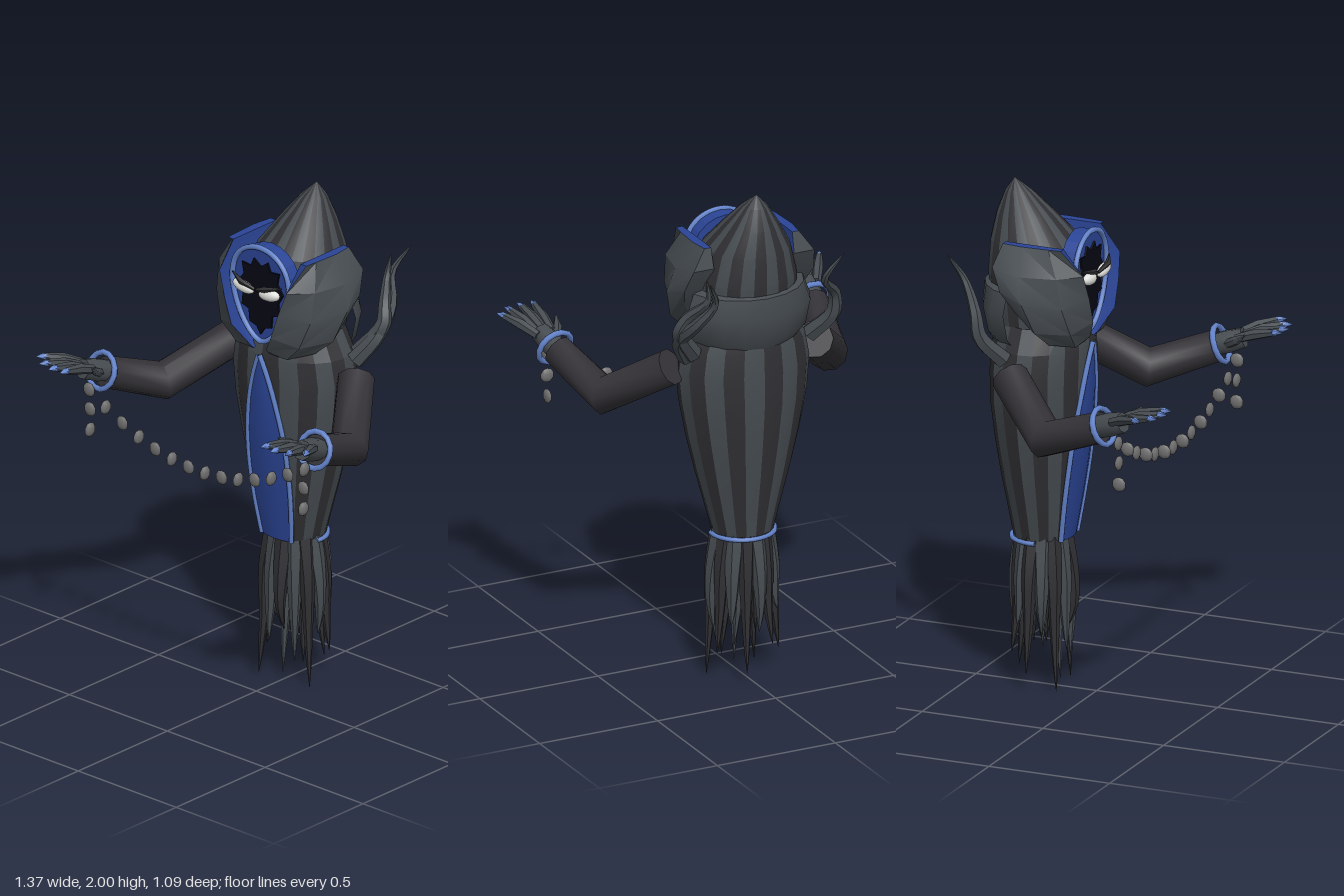
import * as THREE from 'three';
import { toCreasedNormals } from 'three/addons/utils/BufferGeometryUtils.js';

const V = (x, y, z) => new THREE.Vector3(x, y, z);
const material = (name, color, side = THREE.FrontSide) => {
  const m = new THREE.MeshStandardMaterial({ color, side });
  m.name = name;
  return m;
};

// Surface through a grid of points: rows go up, columns go right as seen from outside
function sheet(rows, { flip = false, crease = 0.7, stripes = false } = {}) {
  const pos = [];
  const geo = new THREE.BufferGeometry();
  const cols = rows[0].length - 1;
  for (let j = 0; j < cols; j++) {
    for (let i = 0; i < rows.length - 1; i++) {
      const a = rows[i][j], b = rows[i][j + 1], c = rows[i + 1][j + 1], d = rows[i + 1][j];
      for (const p of flip ? [a, c, b, a, d, c] : [a, b, c, a, c, d]) pos.push(p.x, p.y, p.z);
    }
    if (stripes) geo.addGroup(j * (rows.length - 1) * 6, (rows.length - 1) * 6, j % 2);
  }
  geo.setAttribute('position', new THREE.Float32BufferAttribute(pos, 3));
  const out = toCreasedNormals(geo, crease);
  out.groups = geo.groups;
  return out;
}

// Elliptical ring from [y, rx, zFront, zBack]
function ring([y, rx, zf, zb], n, from = 0, to = Math.PI * 2) {
  return Array.from({ length: n + 1 }, (_, j) => {
    const a = from + (to - from) * j / n;
    return V(rx * Math.sin(a), y, (zf + zb) / 2 + (zf - zb) / 2 * Math.cos(a));
  });
}

// Tapering tube along a path, closed at both ends
function limb(points, radii, sides = 7) {
  const u = V(0.31, 0.2, 0.93);
  const rows = points.map((p, k) => {
    const t = points[Math.min(k + 1, points.length - 1)].clone().sub(points[Math.max(k - 1, 0)]).normalize();
    u.addScaledVector(t, -u.dot(t)).normalize();
    const v = t.clone().cross(u);
    return Array.from({ length: sides + 1 }, (_, j) => {
      const a = Math.PI * 2 * j / sides;
      return p.clone().addScaledVector(u, radii[k] * Math.cos(a)).addScaledVector(v, radii[k] * Math.sin(a));
    });
  });
  rows.unshift(rows[0].map(() => points[0]));
  rows.push(rows[0].map(() => points[points.length - 1]));
  return sheet(rows, { crease: 1 });
}

// Smooth tapering tendril
function tendril(points, r, steps = 9) {
  const path = new THREE.CatmullRomCurve3(points).getPoints(steps);
  return limb(path, path.map((_, k) => r * Math.pow(1 - k / steps, 0.7) + 0.0008), 6);
}

export function createModel() {
  const model = new THREE.Group();
  const dark = material('dark cloth', 0x302f33);
  const grey = material('grey cloth', 0x464c51);
  const sleeve = material('sleeve cloth', 0x343237);
  const blue = material('blue lining', 0x2b4596, THREE.DoubleSide);
  const trim = material('light blue trim', 0x6484cc);
  const shadow = material('face black', 0x060614);
  const white = material('eye white', 0xe6e6e2);
  const metal = material('chain grey', 0x707070);
  const add = (name, geo, mat, parent = model) => {
    const m = new THREE.Mesh(geo, mat);
    m.name = name;
    parent.add(m);
    return m;
  };

  // Striped robe and pointed hood
  const robe = [[0.6, 0.12, -0.11, -0.335], [0.7, 0.148, -0.093, -0.35], [0.85, 0.19, -0.07, -0.375],
    [1.0, 0.227, -0.05, -0.395], [1.15, 0.256, -0.035, -0.41], [1.28, 0.268, -0.03, -0.41],
    [1.38, 0.25, -0.03, -0.405], [1.47, 0.2, -0.05, -0.39]];
  add('robe', sheet(robe.map(r => ring(r, 20)), { stripes: true, crease: 0.28 }), [dark, grey]);
  add('robeUnderside', sheet([ring([0.6, 0, -0.22, -0.22], 20), ring(robe[0], 20)]), dark);
  const hood = [[1.38, 0.18, -0.07, -0.39], [1.5, 0.2, -0.06, -0.41], [1.65, 0.2, -0.06, -0.43],
    [1.77, 0.168, -0.08, -0.425], [1.87, 0.105, -0.18, -0.405], [1.95, 0.05, -0.27, -0.375], [2, 0, -0.34, -0.34]];
  add('hood', sheet(hood.map(r => ring(r, 24)), { stripes: true, crease: 0.28 }), [grey, dark]);

  // Blue front panel with trimmed edges
  const panel = [[0.6, 0.075, -0.1], [0.75, 0.092, -0.075], [0.9, 0.098, -0.052], [1.05, 0.09, -0.034],
    [1.2, 0.064, -0.02], [1.3, 0.036, -0.016], [1.39, 0.003, -0.014]];
  add('frontPanel', sheet(panel.map(([y, w, z]) => [-1, -0.5, 0, 0.5, 1].map(k =>
    V(k * w, y, z - k * k * w * 0.2)))), blue);
  for (const s of [-1, 1]) {
    const edge = new THREE.CatmullRomCurve3(panel.map(([y, w, z]) => V(s * w, y, z - w * 0.2)));
    add('panelTrim', new THREE.TubeGeometry(edge, 20, 0.01, 6), trim);
  }
  const hem = new THREE.CatmullRomCurve3(ring([0.592, 0.125, -0.1, -0.34], 12, Math.PI * 0.45, Math.PI * 1.55));
  add('hemTrim', new THREE.TubeGeometry(hem, 24, 0.01, 6), trim);

  // Face set in a teardrop opening
  const opening = new THREE.Shape();
  opening.moveTo(0, 1.44);
  opening.bezierCurveTo(0.07, 1.45, 0.145, 1.58, 0.145, 1.68);
  opening.bezierCurveTo(0.145, 1.875, -0.145, 1.875, -0.145, 1.68);
  opening.bezierCurveTo(-0.145, 1.58, -0.07, 1.45, 0, 1.44);
  add('faceLining', new THREE.ExtrudeGeometry(opening, { depth: 0.06, bevelEnabled: false, curveSegments: 10 }), blue)
    .position.z = -0.09;
  const rim = new THREE.CatmullRomCurve3(opening.getPoints(8).slice(0, -1).map(p => V(p.x, p.y, -0.025)), true);
  add('faceRim', new THREE.TubeGeometry(rim, 48, 0.011, 6, true), trim);
  const half = [[0.035, 1.775], [0.05, 1.74], [0.095, 1.745], [0.085, 1.7], [0.115, 1.66], [0.09, 1.62],
    [0.095, 1.57], [0.06, 1.56], [0.055, 1.51], [0.02, 1.5]];
  const faceShape = new THREE.Shape([[0, 1.75], ...half, [0, 1.47], ...half.map(([x, y]) => [-x, y]).reverse()]
    .map(([x, y]) => new THREE.Vector2(x, y)));
  add('face', new THREE.ExtrudeGeometry(faceShape, { depth: 0.008, bevelEnabled: false }), shadow).position.z = -0.03;
  for (const s of [-1, 1]) {
    const eye = add('eye', new THREE.SphereGeometry(1, 12, 8), white);
    eye.scale.set(0.054, 0.024, 0.02);
    eye.position.set(s * 0.066, 1.658, 0.0);
    eye.rotation.z = s * 0.15;
    add('brow', limb([V(s * 0.005, 1.665, 0.005), V(s * 0.06, 1.687, 0.02), V(s * 0.125, 1.70, -0.005)],
      [0.006, 0.012, 0.003], 5), dark);
  }

  // Big side flaps of the collar: stations from front to back, each from bottom to top
  const flap = [
    [[0.04, 1.42, -0.01], [0.1, 1.5, 0.03], [0.135, 1.6, 0.03], [0.17, 1.7, 0.02], [0.2, 1.8, -0.06]],
    [[0.13, 1.4, -0.03], [0.2, 1.47, -0.02], [0.24, 1.58, -0.04], [0.245, 1.7, -0.06], [0.205, 1.8, -0.11]],
    [[0.2, 1.42, -0.11], [0.265, 1.48, -0.14], [0.3, 1.6, -0.18], [0.275, 1.7, -0.2], [0.21, 1.8, -0.22]],
    [[0.2, 1.49, -0.2], [0.25, 1.55, -0.23], [0.275, 1.63, -0.28], [0.255, 1.72, -0.32], [0.2, 1.8, -0.3]],
  ];
  for (const s of [-1, 1]) {
    const rows = flap[0].map((_, i) => flap.map(st => V(s * st[i][0], st[i][1], st[i][2])));
    const inner = rows.map((row, i) => row.map(p => V(s * (flap[0][i][0] - (i === 4 ? 0.028 : 0)), p.y, p.z)));
    rows.forEach((row, i) => row.push(inner[i][3]));
    add('collarFlap', sheet(rows, { flip: s < 0, crease: 0.6 }), grey);
    add('collarLining', sheet(inner, { flip: s > 0 }), blue);
    add('collarTop', sheet([rows[4].slice(0, 4), inner[4]], { flip: s < 0 }), blue);
    add('collarBottom', sheet([inner[0], rows[0].slice(0, 4)], { flip: s < 0 }), grey);
  }
  // Back of the collar
  const back = [[1.37, 0.2, -0.02, -0.39], [1.43, 0.25, -0.02, -0.425], [1.53, 0.265, -0.02, -0.445],
    [1.61, 0.235, -0.02, -0.44], [1.63, 0.18, -0.04, -0.40]];
  add('collarBack', sheet(back.map(r => ring(r, 8, Math.PI * 0.56, Math.PI * 1.44))), grey);

  // Curling wisps behind the shoulders
  const wisps = [
    [[0.26, 1.36, -0.27], [0.32, 1.46, -0.33], [0.3, 1.55, -0.43], [0.25, 1.65, -0.49], [0.3, 1.76, -0.545]],
    [[0.25, 1.38, -0.3], [0.33, 1.5, -0.35], [0.31, 1.57, -0.38], [0.26, 1.65, -0.45], [0.27, 1.74, -0.46]],
    [[-0.26, 1.36, -0.27], [-0.325, 1.46, -0.34], [-0.32, 1.55, -0.36], [-0.24, 1.65, -0.44], [-0.3, 1.76, -0.485]],
  ];
  for (const w of wisps) add('wisp', tendril(w.map(p => V(...p)), 0.036, 14), grey);

  // Arms, cuffs, hands and claws
  for (const s of [-1, 1]) {
    const arm = new THREE.Group();
    arm.name = s > 0 ? 'leftArm' : 'rightArm';
    model.add(arm);
    const P = (x, y, z) => V(s * x, y, z);
    add('sleeve', limb([P(0.305, 1.31, -0.225), P(0.475, 1.145, 0), P(0.54, 1.245, 0.255)],
      [0.072, 0.076, 0.062], 10), sleeve, arm);
    const cuff = add('cuff', new THREE.TorusGeometry(0.071, 0.012, 6, 14), trim, arm);
    cuff.position.copy(P(0.545, 1.253, 0.27));
    cuff.quaternion.setFromUnitVectors(V(0, 0, 1), P(0.1, 0.33, 0.9).normalize());
    add('palm', limb([P(0.543, 1.245, 0.24), P(0.55, 1.265, 0.3), P(0.56, 1.285, 0.36)],
      [0.042, 0.046, 0.04], 8), grey, arm);
    const fingers = [[0.522, 0.345, 0.512, 0.54], [0.548, 0.355, 0.568, 0.545], [0.578, 0.35, 0.63, 0.53],
      [0.59, 0.325, 0.685, 0.485]];
    for (const [x0, z0, x1, z1] of fingers) {
      const at = k => P(x0 + (x1 - x0) * k, 1.29 + 0.05 * Math.sin(k * 1.5), z0 + (z1 - z0) * k);
      add('finger', limb([at(0), at(0.4), at(0.8)], [0.018, 0.021, 0.014], 6), grey, arm);
      add('claw', limb([at(0.76), at(0.85), at(1)], [0.014, 0.012, 0.001], 6), trim, arm);
    }
    add('thumb', limb([P(0.52, 1.265, 0.31), P(0.49, 1.295, 0.36), P(0.475, 1.325, 0.4)],
      [0.018, 0.018, 0.003], 6), grey, arm);
  }

  // Chain of flat beads slung between the wrists, with two hanging ends
  const bead = new THREE.SphereGeometry(1, 8, 5);
  const addBead = (x, y, thinX) => {
    const b = add('chainBead', bead, metal);
    b.position.set(x, y, 0.335);
    b.scale.set(thinX ? 0.013 : 0.029, 0.029, thinX ? 0.029 : 0.013);
  };
  for (let i = 0; i < 14; i++) {
    const x = -0.55 + i * 1.1 / 13;
    addBead(x, 1.025 + 0.56 * x * x, i % 2 === 1);
  }
  for (const s of [-1, 1]) {
    addBead(s * 0.545, 1.115, false);
    addBead(s * 0.545, 1.03, true);
  }

  // Ragged tendrils below the hem
  let seed = 7;
  const rand = () => (seed = (seed * 16807) % 2147483647) / 2147483647;
  const lower = new THREE.Group();
  lower.name = 'lowerTendrils';
  model.add(lower);
  const tips = [0.22, 0.1, 0.0, 0.2, 0.12, 0.24, 0.05, 0.2, 0.14, 0.26, 0.08, 0.22, 0.01, 0.16];
  tips.forEach((tip, i) => {
    const a = (i + 0.4) / tips.length * Math.PI * 2;
    const dx = Math.sin(a), dz = Math.cos(a);
    const at = (r, y) => V(dx * r, y, -0.22 + dz * r * 0.85);
    const end = 0.1 + rand() * 0.055;
    const mid = 0.105 + rand() * 0.02;
    add('lowerTendril', tendril([at(0.08, 0.63), at(mid, 0.45), at(mid + 0.01, 0.25 + tip / 3), at(end, tip)], 0.04),
      i % 2 ? grey : dark, lower);
  });
  for (let i = 0; i < 5; i++) {
    const a = i * 1.257;
    const x = 0.05 * Math.sin(a), z = -0.22 + 0.05 * Math.cos(a);
    add('innerTendril', tendril([V(x, 0.63, z), V(x * 1.1, 0.4, z), V(x * 1.5, 0.03 + 0.05 * i, z + 0.02)], 0.04),
      i % 2 ? dark : grey, lower);
  }
  return model;
}
